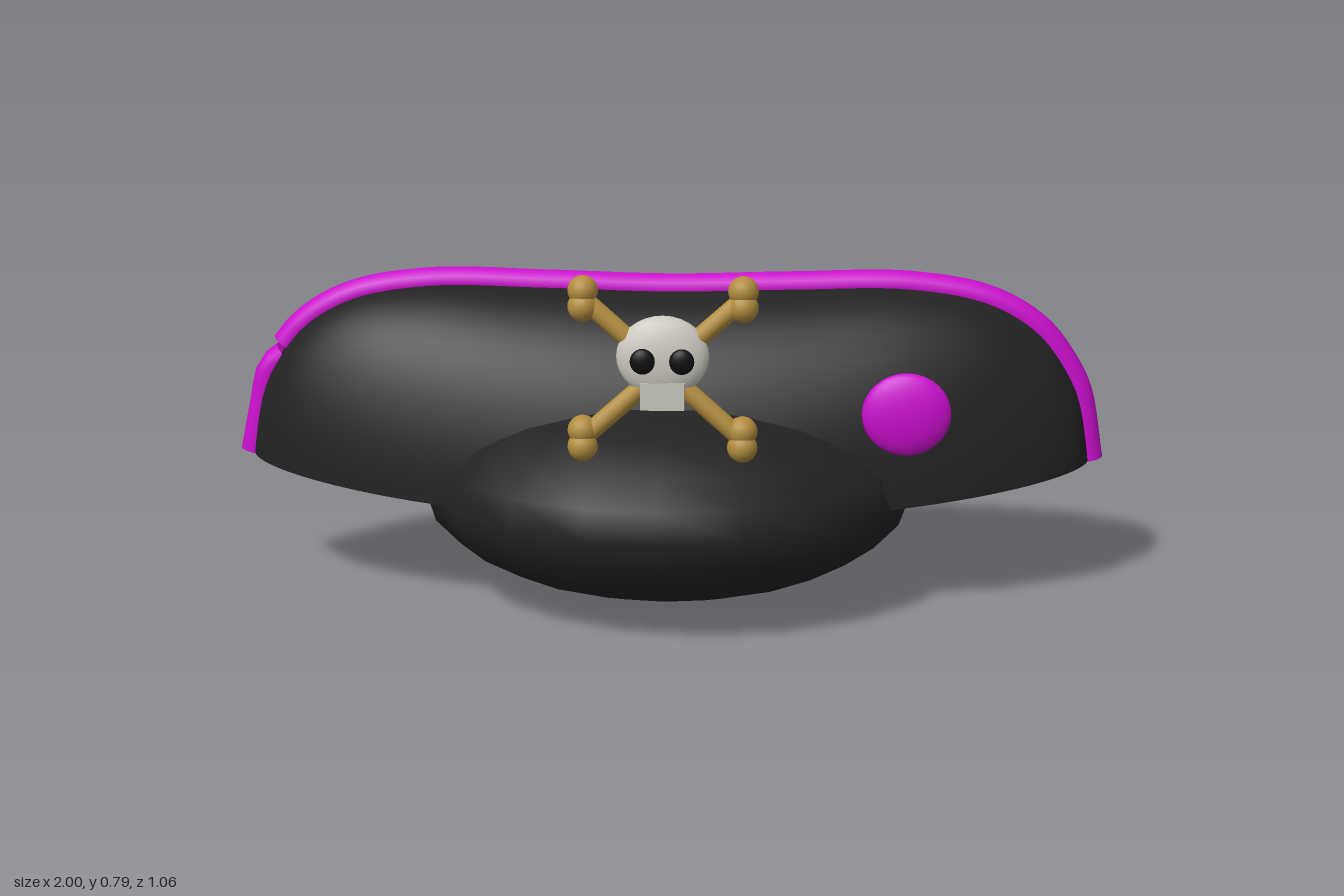
import * as THREE from 'three';

const mat = (name, color, side = THREE.FrontSide) => {
  const m = new THREE.MeshStandardMaterial({ color, side });
  m.name = name;
  return m;
};

export function createModel() {
  const hat = new THREE.Group();
  hat.name = 'pirateHat';
  const felt = mat('black felt', 0x222222, THREE.DoubleSide);
  const pink = mat('magenta trim', 0xcc0fcf);
  const gold = mat('golden bone', 0xb38d3f);
  const ivory = mat('ivory skull', 0xc9c7be);
  const black = mat('eye black', 0x101010);

  const add = (parent, name, geometry, material, x = 0, y = 0, z = 0) => {
    const m = new THREE.Mesh(geometry, material);
    m.name = name;
    m.position.set(x, y, z);
    parent.add(m);
    return m;
  };
  const ellipsoid = (rx, ry, rz, w = 24, h = 16) =>
    new THREE.SphereGeometry(1, w, h).scale(rx, ry, rz);

  // Crown base: coarse, smooth-shaded ellipsoid
  add(hat, 'crown', ellipsoid(0.57, 0.25, 0.53, 20, 12), felt, 0, 0.253, 0);

  // Crest line shared by the upturned brim and its trim
  const zc = -0.026, end = 0.967;
  const half = [[0.967, 0.3], [0.936, 0.46], [0.9, 0.53], [0.84, 0.605],
    [0.73, 0.67], [0.55, 0.703], [0.28, 0.7]];
  const outline = [
    ...half.map(([x, y]) => new THREE.Vector3(-x, y, zc)),
    new THREE.Vector3(0, 0.693, zc),
    ...half.map(([x, y]) => new THREE.Vector3(x, y, zc)).reverse(),
  ];
  const crest = new THREE.CatmullRomCurve3(outline).getSpacedPoints(80);

  // Brim: open shell of arched cross-sections along x
  const N = 32, pos = [], idx = [];
  crest.forEach((p, i) => {
    const k = Math.min(1, (p.x / end) ** 2);
    const depth = 0.312 * Math.sqrt(1 - k);
    const base = Math.min(p.y, 0.23 + 0.07 * k);
    for (let j = 0; j <= N; j++) {
      const a = (j / N) * Math.PI;
      pos.push(p.x, base + (p.y - base) * Math.sin(a), zc + depth * Math.cos(a));
      if (i < crest.length - 1 && j < N) {
        const q = i * (N + 1) + j, r = q + N + 1;
        idx.push(q, r, q + 1, r, r + 1, q + 1);
      }
    }
  });
  const shell = new THREE.BufferGeometry();
  shell.setAttribute('position', new THREE.Float32BufferAttribute(pos, 3));
  shell.setIndex(idx);
  shell.computeVertexNormals();
  add(hat, 'upturnedBrim', shell, felt);

  // Trim: capped tubes, with a separate short piece at the right end
  const trim = (name, points) => {
    const g = new THREE.Group();
    g.name = name;
    hat.add(g);
    const curve = new THREE.CatmullRomCurve3(points);
    add(g, name + 'Tube', new THREE.TubeGeometry(curve, points.length * 2, 0.033, 12), pink);
    for (const t of [0, 1]) {
      const p = curve.getPoint(t), dir = curve.getTangent(t).multiplyScalar(t ? 1 : -1);
      const cap = add(g, name + 'Cap', new THREE.CircleGeometry(0.033, 12), pink, p.x, p.y, p.z);
      cap.quaternion.setFromUnitVectors(new THREE.Vector3(0, 0, 1), dir);
    }
  };
  trim('mainTrim', crest.filter((p) => p.x > -0.885));
  trim('endTrim', [[-0.967, 0.3], [-0.943, 0.41], [-0.92, 0.5], [-0.885, 0.53]]
    .map(([x, y]) => new THREE.Vector3(x, y, zc)));

  // Rosette on the front
  add(hat, 'rosette', ellipsoid(0.097, 0.092, 0.031), pink, 0.527, 0.487, 0.31);

  // Skull with jaw and eyes
  const emblem = new THREE.Group();
  emblem.name = 'emblem';
  hat.add(emblem);
  add(emblem, 'skull', ellipsoid(0.1, 0.088, 0.035), ivory, 0, 0.624, 0.36).rotation.x = -0.1;
  add(emblem, 'jaw', new THREE.BoxGeometry(0.095, 0.06, 0.03), ivory, 0, 0.542, 0.378);
  for (const s of [-1, 1]) {
    add(emblem, 'eye', ellipsoid(0.027, 0.028, 0.014, 16, 12), black, s * 0.042, 0.62, 0.394);
    // Crossed bone with a pair of knobs at each end
    const a = new THREE.Vector3(s * 0.172, 0.745, 0.339);
    const b = new THREE.Vector3(-s * 0.172, 0.445, 0.374);
    const d = b.clone().sub(a), mid = a.clone().add(b).multiplyScalar(0.5);
    const shaft = add(emblem, 'bone', new THREE.CylinderGeometry(0.021, 0.021, d.length(), 14),
      gold, mid.x, mid.y, mid.z);
    shaft.quaternion.setFromUnitVectors(new THREE.Vector3(0, 1, 0), d.normalize());
    for (const e of [a, b]) for (const k of [-1, 1]) {
      add(emblem, 'boneKnob', new THREE.SphereGeometry(0.033, 16, 12), gold,
        e.x, e.y + k * 0.017, e.z - k * 0.003);
    }
  }
  return hat;
}
